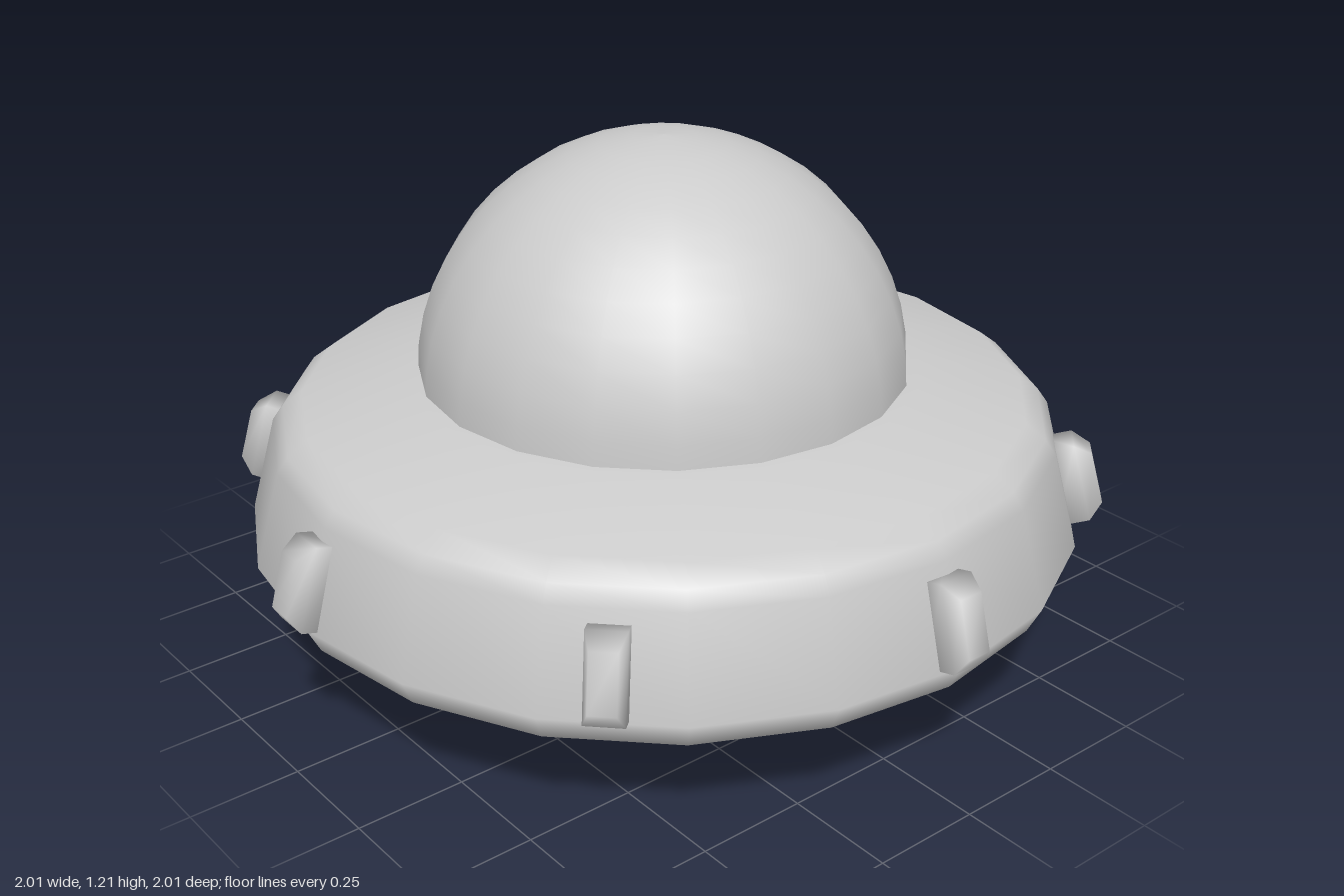
import * as THREE from 'three';
import { mergeVertices } from 'three/addons/utils/BufferGeometryUtils.js';

const SIDES = 20;
const material = new THREE.MeshStandardMaterial({ color: 0xcccccc });

function lathe(name, points) {
  const profile = points.map(([r, y]) => new THREE.Vector2(r, y));
  const mesh = new THREE.Mesh(new THREE.LatheGeometry(profile, SIDES), material);
  mesh.name = name;
  return mesh;
}

// Block whose outer face is drawn in on all four sides, softly shaded
function lightGeometry() {
  const geo = new THREE.BoxGeometry(0.085, 0.19, 0.1, 1, 1, 2);
  const pos = geo.attributes.position;
  for (let i = 0; i < pos.count; i++) {
    const z = pos.getZ(i);
    if (z > 0.01) pos.setXYZ(i, pos.getX(i) * 0.68, pos.getY(i) * 0.66, 0.07);
    else if (z > -0.01) pos.setZ(i, 0.035);
    else pos.setZ(i, -0.04);
  }
  geo.deleteAttribute('normal');
  geo.deleteAttribute('uv');
  const soft = mergeVertices(geo);
  soft.computeVertexNormals();
  return soft;
}

export function createModel() {
  const model = new THREE.Group();
  model.name = 'flyingSaucer';

  // Hull: shallow belly, sloped underside, leaning rim wall, gently sloped deck
  model.add(lathe('hull', [
    [0, 0], [0.47, 0.035], [0.74, 0.195], [0.87, 0.235], [0.92, 0.27], [0.95, 0.33],
    [0.89, 0.55], [0.865, 0.585], [0.82, 0.62], [0.58, 0.677], [0.5, 0.68],
  ]));

  // Dome: a little more than half a sphere, its foot sunk into the deck
  const dome = [];
  for (let i = 0; i <= 12; i++) {
    const a = (i / 12) * Math.PI / 2;
    dome.push([0.555 * Math.cos(a), 0.66 + 0.55 * Math.sin(a)]);
  }
  dome[12][0] = 0;
  model.add(lathe('dome', dome));

  // Rim lights: eight blocks leaning with the rim wall
  const lights = new THREE.Group();
  lights.name = 'rimLights';
  lights.rotation.y = -0.011;
  const geo = lightGeometry();
  for (let i = 0; i < 8; i++) {
    const light = new THREE.Mesh(geo, material);
    light.name = 'rimLight';
    light.position.set(0, 0.43, 0.919);
    light.rotation.x = -0.27;
    const arm = new THREE.Group();
    arm.name = 'rimLightMount';
    arm.rotation.y = (i * Math.PI) / 4;
    arm.add(light);
    lights.add(arm);
  }
  model.add(lights);
  return model;
}
